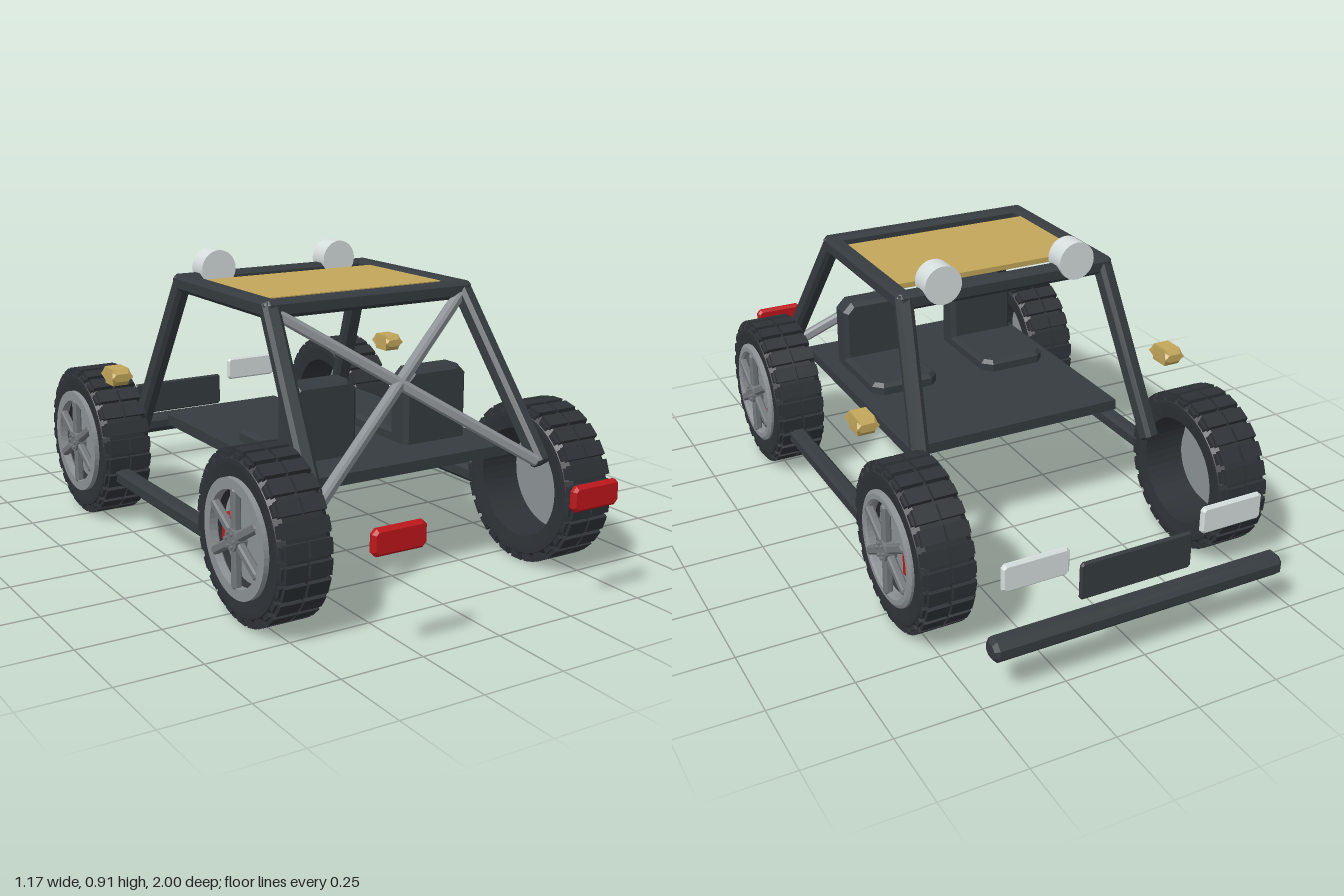
import * as THREE from 'three';
import { mergeGeometries } from 'three/addons/utils/BufferGeometryUtils.js';

const paint = (color, flatShading = true) => new THREE.MeshStandardMaterial({ color, flatShading });
const DARK = paint(0x353b3f), RUBBER = paint(0x2e3236), METAL = paint(0x73777a), STEEL = paint(0x8c9195);
const GOLD = paint(0xc2a65a), RED = paint(0xbf161b), GLASS = paint(0xd6dddd), LAMP = paint(0xd6dddd, false);

// Box with every edge cut at 45 degrees, centred on the origin
function chamferBox(w, h, d, c, corner = c) {
  const x = w / 2 - c, y = h / 2 - c, k = corner;
  const shape = new THREE.Shape([
    [x - k, -y], [x, -y + k], [x, y - k], [x - k, y],
    [-x + k, y], [-x, y - k], [-x, -y + k], [-x + k, -y],
  ].map(p => new THREE.Vector2(...p)));
  const g = new THREE.ExtrudeGeometry(shape, {
    depth: d - 2 * c, bevelEnabled: true, bevelThickness: c, bevelSize: c, bevelSegments: 1,
  });
  return g.translate(0, 0, -(d - 2 * c) / 2);
}

function add(parent, name, geometry, material, x = 0, y = 0, z = 0) {
  const mesh = new THREE.Mesh(geometry, material);
  mesh.name = name;
  mesh.position.set(x, y, z);
  parent.add(mesh);
  return mesh;
}

// Straight chamfered bar between two points
function bar(parent, name, a, b, size, material = DARK) {
  const p = new THREE.Vector3(...a), q = new THREE.Vector3(...b);
  const mid = p.clone().add(q).multiplyScalar(0.5);
  const g = chamferBox(size, size, p.distanceTo(q) + size * 0.7, size * 0.14);
  const mesh = add(parent, name, g, material, mid.x, mid.y, mid.z);
  mesh.lookAt(q);
  return mesh;
}

// Lathe around the x axis from [radius, x] points
function latheX(points, segments) {
  return new THREE.LatheGeometry(points.map(p => new THREE.Vector2(...p)), segments).rotateZ(-Math.PI / 2);
}

function createWheel(s) {
  const wheel = new THREE.Group();
  wheel.name = 'wheel';

  // Hollow tyre
  add(wheel, 'tyre', latheX([
    [0.166, -0.075], [0.205, -0.08], [0.218, -0.08], [0.234, -0.06], [0.234, 0.06],
    [0.218, 0.08], [0.205, 0.08], [0.166, 0.075], [0.166, -0.075],
  ], 48), RUBBER);

  // Two rows of tread blocks with shoulder lugs
  const blocks = [];
  const count = 26;
  for (let i = 0; i < count; i++) {
    for (const row of [-1, 1]) {
      const block = new THREE.BoxGeometry(0.066, 0.02, 0.044).translate(row * 0.0365, 0.2355, 0);
      const lug = new THREE.BoxGeometry(0.014, 0.024, 0.034).translate(row * 0.071, 0.222, 0);
      for (const g of [block, lug]) blocks.push(g.rotateX(i / count * Math.PI * 2));
    }
  }
  add(wheel, 'tread', mergeGeometries(blocks), RUBBER);

  // Rim ring, spokes and hub
  add(wheel, 'rim', latheX([
    [0.136, -0.016], [0.168, -0.016], [0.168, 0.008], [0.158, 0.014],
    [0.143, 0.014], [0.136, 0.008], [0.136, -0.016],
  ], 48), STEEL, s * 0.075);
  const spokes = [];
  for (let i = 0; i < 6; i++) {
    spokes.push(chamferBox(0.026, 0.125, 0.024, 0.005).rotateY(Math.PI / 2)
      .translate(0, 0.082, 0).rotateX(i * Math.PI / 3));
  }
  add(wheel, 'spokes', mergeGeometries(spokes), METAL, s * 0.082);
  add(wheel, 'hub', new THREE.CylinderGeometry(0.032, 0.032, 0.036, 16).rotateZ(Math.PI / 2), METAL, s * 0.082);
  const nuts = [];
  for (let i = 0; i < 6; i++) {
    nuts.push(new THREE.CylinderGeometry(0.006, 0.006, 0.01, 6).rotateZ(Math.PI / 2)
      .translate(0, 0.021, 0).rotateX((i + 0.5) * Math.PI / 3));
  }
  add(wheel, 'wheelNuts', mergeGeometries(nuts), METAL, s * 0.102);

  // Brake disc and caliper behind the spokes
  add(wheel, 'brakeDisc', new THREE.CylinderGeometry(0.13, 0.13, 0.014, 40).rotateZ(Math.PI / 2), STEEL, s * 0.04);
  add(wheel, 'brakeCaliper', chamferBox(0.034, 0.085, 0.03, 0.006), RED, s * 0.054, 0, -0.092);
  return wheel;
}

export function createModel() {
  const car = new THREE.Group();
  car.name = 'buggy';

  // Floor and roof panel
  add(car, 'floor', new THREE.BoxGeometry(0.72, 0.033, 0.84), DARK, 0, 0.357, 0.16);
  add(car, 'roofPanel', new THREE.BoxGeometry(0.65, 0.016, 0.39), GOLD, 0, 0.822, 0.095);

  // Cross bars of the roll cage
  const tube = 0.052, roofY = 0.813, rearZ = 0.365, frontZ = -0.185;
  bar(car, 'rearRoofBar', [-0.335, roofY, rearZ], [0.335, roofY, rearZ], tube);
  bar(car, 'frontRoofBar', [-0.335, roofY, frontZ], [0.335, roofY, frontZ], tube);

  for (const s of [-1, 1]) {
    // Roll cage side
    bar(car, 'sideRoofBar', [s * 0.335, roofY, rearZ], [s * 0.335, roofY, frontZ], tube);
    bar(car, 'rearPillar', [s * 0.335, roofY, rearZ], [s * 0.388, 0.35, 0.685], tube);
    bar(car, 'frontPillar', [s * 0.335, roofY, frontZ], [s * 0.385, 0.32, -0.41], tube);
    bar(car, 'rearBrace', [s * 0.32, 0.8, 0.375], [-s * 0.365, 0.352, 0.69], 0.033, STEEL);
    bar(car, 'sideStep', [s * 0.498, 0.172, -0.32], [s * 0.498, 0.172, 0.36], 0.052);

    // Seat
    const seat = new THREE.Group();
    seat.name = 'seat';
    seat.position.x = s * 0.197;
    add(seat, 'seatCushion', chamferBox(0.226, 0.3, 0.06, 0.012, 0.022).rotateX(Math.PI / 2), DARK, 0, 0.38, 0.255);
    add(seat, 'seatBack', chamferBox(0.226, 0.272, 0.085, 0.014, 0.022), DARK, 0, 0.464, 0.393);
    car.add(seat);

    // Lights and mirrors
    add(car, 'tailLight', chamferBox(0.165, 0.073, 0.026, 0.008), RED, s * 0.325, 0.333, 0.987);
    add(car, 'headlight', chamferBox(0.2, 0.082, 0.02, 0.006), GLASS, s * 0.31, 0.328, -0.928);
    add(car, 'mirror', chamferBox(0.1, 0.054, 0.092, 0.015), GOLD, s * 0.52, 0.516, -0.293);
    add(car, 'roofLamp', new THREE.CylinderGeometry(0.059, 0.059, 0.07, 32).rotateX(Math.PI / 2),
      LAMP, s * 0.223, 0.851, -0.186);

    // Wheels
    for (const z of [-0.545, 0.575]) {
      const wheel = createWheel(s);
      wheel.position.set(s * 0.48, 0.246, z);
      car.add(wheel);
    }
  }

  // Grille and bumper
  add(car, 'grille', chamferBox(0.356, 0.115, 0.014, 0.005), DARK, 0, 0.253, -0.935);
  add(car, 'frontBumper', chamferBox(0.07, 0.065, 0.92, 0.012).rotateY(Math.PI / 2), DARK, 0, 0.147, -0.965);
  return car;
}
